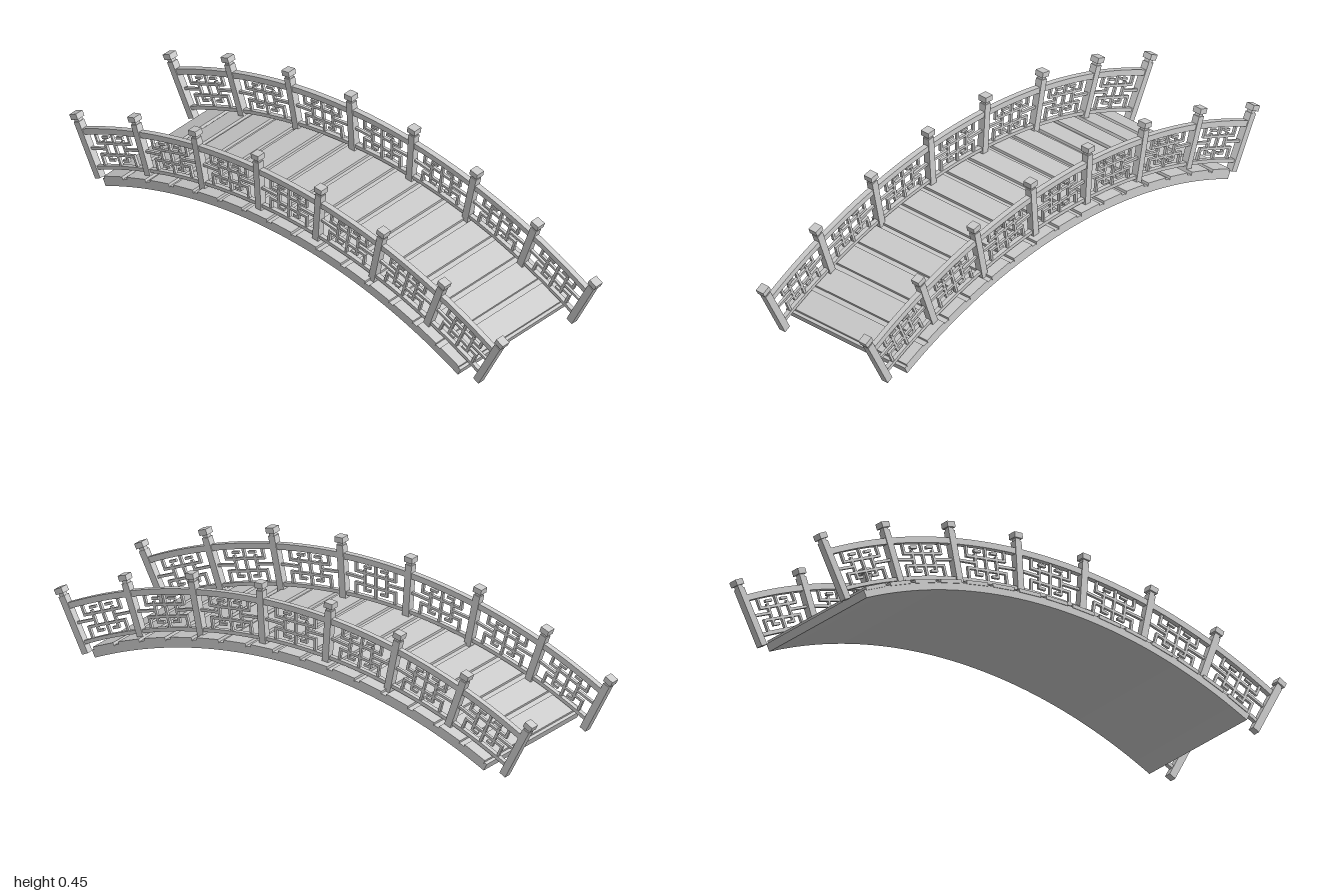
import * as THREE from 'three';
import { toCreasedNormals } from 'three/addons/utils/BufferGeometryUtils.js';

const CY = -1.62;          // height of the arc's centre
const STEP = 0.138;        // angle between posts
const END = STEP * 3.5;    // angle of the last post
const RAIL_X = 0.23;

const mat = new THREE.MeshStandardMaterial({ color: 0xcccccc });

function addMesh(parent, geo, name) {
  const m = new THREE.Mesh(geo, mat);
  m.name = name;
  parent.add(m);
  return m;
}

// Curved band following the bridge arc, extruded across x
function arcBand(r0, r1, half, width) {
  const s = new THREE.Shape();
  s.absarc(0, 0, r1, Math.PI / 2 - half, Math.PI / 2 + half, false);
  s.absarc(0, 0, r0, Math.PI / 2 + half, Math.PI / 2 - half, true);
  let g = new THREE.ExtrudeGeometry(s, { depth: width, bevelEnabled: false, curveSegments: 42 });
  g.translate(0, 0, -width / 2).rotateY(-Math.PI / 2);
  g = toCreasedNormals(g, 0.4);
  return g.translate(0, CY, 0);
}

// Group whose y axis points outwards along a radius of the arc
function radial(parent, angle, name) {
  const g = new THREE.Group();
  g.name = name;
  g.position.y = CY;
  g.rotation.x = angle;
  parent.add(g);
  return g;
}

function block(parent, name, w, r0, r1, d, z = 0) {
  const m = addMesh(parent, new THREE.BoxGeometry(w, r1 - r0, d), name);
  m.position.set(0, (r0 + r1) / 2, z);
}

function buildPost(parent, angle, isEnd) {
  const g = radial(parent, angle, 'post');
  block(g, 'postShaft', 0.026, isEnd ? 1.837 : 1.848, 2.045, 0.026);
  block(g, 'postNeck', 0.02, 2.045, 2.055, 0.02);
  block(g, 'postCap', 0.033, 2.055, 2.075, 0.033);
}

// Fretwork: bars given as [z0, z1, height0, height1] on one side, mirrored in z
const T = 0.009;
const FRET = [
  [0.04, 0.04 + T, 0.025, 0.095],   // inner frame sides
  [0, 0.075, 0.035, 0.035 + T],     // lower arm
  [0, 0.075, 0.078, 0.078 + T],     // upper arm
  [0.075, 0.075 + T, 0.0, 0.044],   // outer leg down to the bottom rail
  [0.075, 0.075 + T, 0.078, 0.122], // outer leg up to the handrail
  [0.02, 0.049, 0.1, 0.1 + T],      // upper hook
  [0.02, 0.049, 0.016, 0.016 + T],  // lower hook
  [0.04, 0.12, 0.057, 0.057 + T],   // tie to the post
];

function buildFret(parent, angle) {
  const g = radial(parent, angle, 'fretPanel');
  const base = 1.878;
  block(g, 'fretStile', 0.01, base, 1.999, T);
  for (const [z0, z1, h0, h1] of FRET)
    for (const s of [-1, 1])
      block(g, 'fretBar', 0.01, base + h0, base + h1, z1 - z0, s * (z0 + z1) / 2);
}

function buildRailing(side) {
  const g = new THREE.Group();
  g.name = side > 0 ? 'leftRailing' : 'rightRailing';
  g.position.x = side * RAIL_X;
  addMesh(g, arcBand(1.997, 2.018, END, 0.02), 'handrail');
  addMesh(g, arcBand(1.867, 1.88, END, 0.016), 'bottomRail');
  for (let i = 0; i < 8; i++) buildPost(g, (i - 3.5) * STEP, i === 0 || i === 7);
  for (let i = 0; i < 7; i++) buildFret(g, (i - 3) * STEP);
  return g;
}

export function createModel() {
  const model = new THREE.Group();
  model.name = 'archedFootbridge';
  const bridge = new THREE.Group();
  bridge.name = 'bridge';
  bridge.rotation.y = 0.068;
  model.add(bridge);

  // Curved deck slab
  addMesh(bridge, arcBand(1.82, 1.848, 0.452, 0.535), 'deckSlab');

  // Flat planks laid across the slab with narrow gaps
  const planks = 15, pitch = 0.904 / planks;
  for (let i = 0; i < planks; i++) {
    const g = radial(bridge, (i - (planks - 1) / 2) * pitch, 'plank');
    block(g, 'plankBoard', 0.54, 1.844, 1.857, 0.09);
  }

  for (const side of [-1, 1]) bridge.add(buildRailing(side));
  return model;
}
